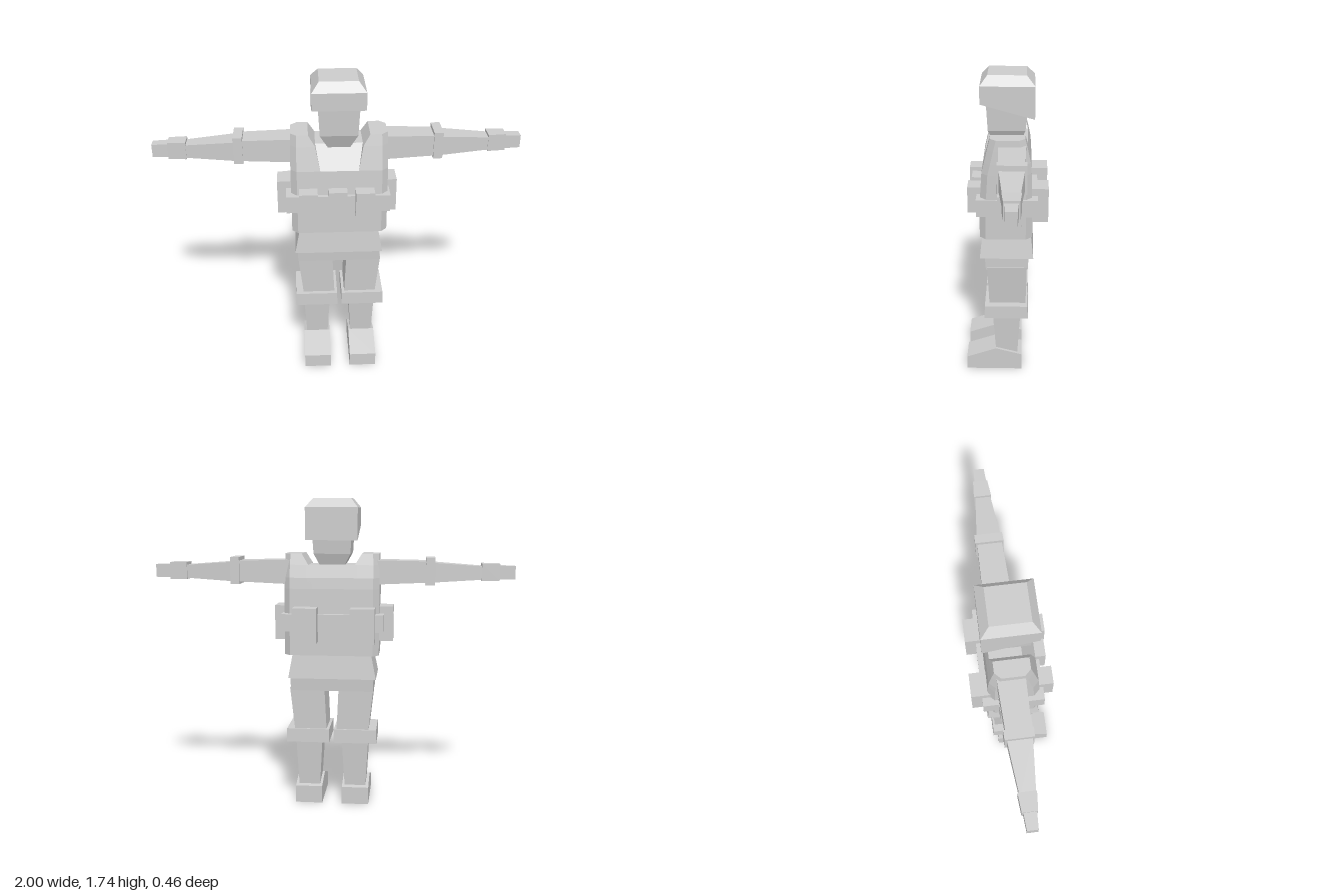
import * as THREE from 'three';

const material = new THREE.MeshStandardMaterial({ color: 0xcccccc, flatShading: true });

// Closed solid through convex rings of [x, y, z] points, counterclockwise seen from the far end
function loft(name, rings) {
  const pos = [];
  const tri = (a, b, c) => pos.push(...a, ...b, ...c);
  const n = rings[0].length;
  for (let r = 0; r < rings.length - 1; r++) {
    const a = rings[r], b = rings[r + 1];
    for (let i = 0; i < n; i++) {
      const j = (i + 1) % n;
      tri(a[i], a[j], b[j]);
      tri(a[i], b[j], b[i]);
    }
  }
  const first = rings[0], last = rings[rings.length - 1];
  for (let i = 1; i < n - 1; i++) {
    tri(first[0], first[i + 1], first[i]);
    tri(last[0], last[i], last[i + 1]);
  }
  const geometry = new THREE.BufferGeometry();
  geometry.setAttribute('position', new THREE.Float32BufferAttribute(pos, 3));
  geometry.computeVertexNormals();
  const mesh = new THREE.Mesh(geometry, material);
  mesh.name = name;
  return mesh;
}

// Rectangular ring lying flat; yBack tilts it
const flat = (y, x0, x1, zb, zf, yBack = y) =>
  [[x0, y, zf], [x1, y, zf], [x1, yBack, zb], [x0, yBack, zb]];

// Rectangular ring standing across the x axis
const across = (x, y0, y1, zb, zf) =>
  [[x, y0, zf], [x, y0, zb], [x, y1, zb], [x, y1, zf]];

// Flat ring with chamfered corners
const chamfered = (y, w, zb, zf, c = 0.033) => [
  [-w + c, y, zf], [w - c, y, zf], [w, y, zf - c], [w, y, zb + c],
  [w - c, y, zb], [-w + c, y, zb], [-w, y, zb + c], [-w, y, zf - c],
];

const mirrorRing = (ring) => ring.map(([x, y, z]) => [-x, y, z]).reverse();

function box(name, x0, x1, y0, y1, z0, z1) {
  const mesh = new THREE.Mesh(new THREE.BoxGeometry(x1 - x0, y1 - y0, z1 - z0), material);
  mesh.position.set((x0 + x1) / 2, (y0 + y1) / 2, (z0 + z1) / 2);
  mesh.name = name;
  return mesh;
}

function buildHead() {
  const g = new THREE.Group();
  g.name = 'head';
  g.add(loft('face', [
    flat(1.36, -0.06, 0.06, -0.07, 0.065),
    flat(1.44, -0.103, 0.1, -0.1, 0.1),
    flat(1.62, -0.113, 0.11, -0.12, 0.11),
  ]));
  g.add(loft('helmet', [
    flat(1.595, -0.145, 0.14, -0.15, 0.14, 1.515),
    flat(1.69, -0.145, 0.14, -0.15, 0.14),
    flat(1.74, -0.105, 0.1, -0.105, 0.1),
  ]));
  return g;
}

function buildTorso() {
  const g = new THREE.Group();
  g.name = 'torso';
  g.add(loft('vest', [
    chamfered(0.88, 0.263, -0.14, 0.143),
    chamfered(1.05, 0.263, -0.14, 0.143),
    chamfered(1.25, 0.263, -0.135, 0.13),
  ]));
  // Chest and upper back, sunk between the shoulder straps
  g.add(loft('chest', [
    flat(1.25, -0.12, 0.12, -0.135, 0.13),
    flat(1.31, -0.14, 0.14, -0.13, 0.095),
    flat(1.38, -0.14, 0.14, -0.115, 0.055),
  ]));
  // Shoulder straps with chamfered outer corners
  const strap = (y, inner, outer, zb, zf, c = 0.033) => [
    [inner, y, zf], [outer - c, y, zf], [outer, y, zf - c],
    [outer, y, zb + c], [outer - c, y, zb], [inner, y, zb],
  ];
  const rings = [
    strap(1.25, 0.103, 0.263, -0.135, 0.13),
    strap(1.31, 0.115, 0.263, -0.13, 0.116),
    strap(1.38, 0.128, 0.262, -0.115, 0.1),
    strap(1.44, 0.165, 0.26, -0.1, 0.085),
  ];
  g.add(loft('leftStrap', rings));
  g.add(loft('rightStrap', rings.map(mirrorRing)));
  // Jacket hem and hips
  g.add(loft('jacketHem', [
    flat(0.75, -0.25, 0.24, -0.15, 0.145),
    flat(0.89, -0.222, 0.215, -0.135, 0.13),
  ]));
  g.add(loft('hips', [
    flat(0.675, -0.235, 0.23, -0.12, 0.112),
    flat(0.76, -0.235, 0.23, -0.125, 0.118),
  ]));
  return g;
}

function buildBelt() {
  const g = new THREE.Group();
  g.name = 'belt';
  g.add(box('beltBand', -0.29, 0.275, 1.017, 1.113, -0.17, 0.16));
  // Front pouches
  for (const [x0, x1, z] of [[-0.22, -0.12, 0.215], [-0.06, 0.04, 0.195], [0.085, 0.187, 0.21]])
    g.add(box('frontPouch', x0, x1, 1.005, 1.152, 0.12, z));
  // Side pouches
  g.add(box('leftPouch', 0.245, 0.32, 0.96, 1.152, -0.085, 0.045));
  g.add(box('rightPouch', -0.34, -0.263, 0.96, 1.152, -0.085, 0.045));
  // Back pouches
  for (const [x0, x1] of [[-0.243, -0.11], [0.072, 0.205]])
    g.add(box('backPouch', x0, x1, 0.96, 1.152, -0.228, -0.12));
  return g;
}

function buildArm(side) {
  const g = new THREE.Group();
  g.name = side > 0 ? 'leftArm' : 'rightArm';
  // The right arm sits slightly further forward towards the hand
  const shift = (x) => (side > 0 ? 0 : 0.01 + 0.02 * x);
  const limb = (name, sections) => {
    const rings = sections.map(([x, y0, y1, zb, zf]) =>
      across(side * x, y0, y1, zb + shift(x), zf + shift(x)));
    g.add(loft(name, side > 0 ? rings : rings.reverse()));
  };
  limb('upperArm', [[0.22, 1.272, 1.406, -0.105, 0.042], [0.54, 1.285, 1.4, -0.1, 0.03]]);
  limb('elbowPad', [[0.515, 1.27, 1.42, -0.111, 0.04], [0.565, 1.27, 1.42, -0.111, 0.037]]);
  limb('forearm', [[0.55, 1.285, 1.393, -0.1, 0.03], [0.84, 1.302, 1.372, -0.077, 0.002]]);
  limb('cuff', [[0.818, 1.294, 1.388, -0.086, 0.008], [0.915, 1.294, 1.388, -0.08, -0.002]]);
  limb('hand', [[0.9, 1.302, 1.377, -0.073, -0.006], [1, 1.304, 1.375, -0.068, -0.012]]);
  return g;
}

function buildLeg(side) {
  const g = new THREE.Group();
  g.name = side > 0 ? 'leftLeg' : 'rightLeg';
  const limb = (name, rings) => g.add(loft(name, side > 0 ? rings : rings.map(mirrorRing)));
  limb('thigh', [
    flat(0.44, 0.028, 0.208, -0.11, 0.095),
    flat(0.69, 0.04, 0.235, -0.115, 0.105),
  ]);
  limb('kneePad', [
    flat(0.375, 0.013, 0.255, -0.125, 0.122),
    flat(0.452, 0.013, 0.253, -0.122, 0.12),
  ]);
  limb('shin', [
    flat(0.1, 0.072, 0.192, -0.065, 0.058),
    flat(0.39, 0.055, 0.207, -0.082, 0.078),
  ]);
  // Boot: flat sole, rising from the toe to the instep
  const bootRing = (x) =>
    [[x, 0, 0.23], [x, 0, -0.09], [x, 0.1, -0.09], [x, 0.14, 0.06], [x, 0.08, 0.23]];
  limb('boot', [bootRing(0.057), bootRing(0.21)]);
  return g;
}

export function createModel() {
  const model = new THREE.Group();
  model.name = 'soldierFigure';
  model.add(buildHead(), buildTorso(), buildBelt());
  for (const side of [1, -1]) model.add(buildArm(side), buildLeg(side));
  return model;
}
